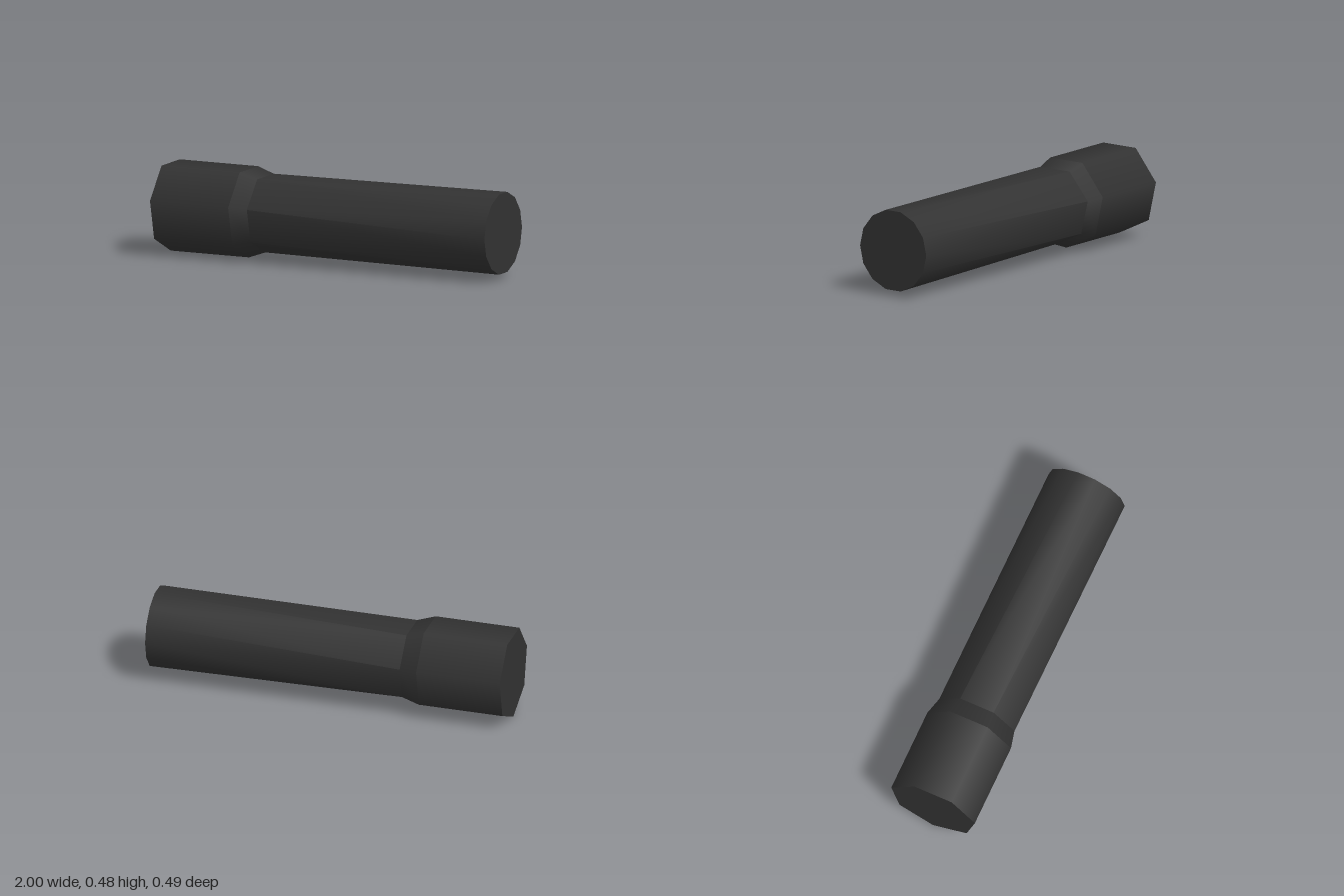
import * as THREE from 'three';

const CENTER_Y = 0.2525;
const HEAD_R = 0.2525, NECK_R = 0.2175, END_R = 0.2235;
const NECK_WIDEN = 1.045; // the neck ring is slightly wider than tall
const X_BACK = -1, X_HEAD = -0.53, X_NECK = -0.43, X_FRONT = 1;

export function createModel() {
  const group = new THREE.Group();
  const charcoal = new THREE.MeshStandardMaterial({ color: 0x323232 });
  charcoal.name = 'charcoal';

  function add(name, geometry, x) {
    const mesh = new THREE.Mesh(geometry, charcoal);
    mesh.name = name;
    mesh.position.set(x, CENTER_Y, 0);
    group.add(mesh);
  }

  // Open tube along x with smooth sides; edit(position, index) may adjust its points first
  function tube(name, x0, x1, r0, r1, sides, start, edit) {
    const g = new THREE.CylinderGeometry(r1, r0, x1 - x0, sides, 1, true, start);
    g.rotateZ(-Math.PI / 2);
    if (edit) {
      const p = g.attributes.position;
      for (let i = 0; i < p.count; i++) edit(p, i);
    }
    add(name, g, (x0 + x1) / 2);
  }

  // Seven-sided head, with a corner pointing down
  tube('head', X_BACK, X_HEAD, HEAD_R, HEAD_R, 7, Math.PI / 2);

  // Taper from the head to the neck
  tube('collar', X_HEAD, X_NECK, HEAD_R, NECK_R, 7, Math.PI / 2, (p, i) => {
    if (p.getX(i) > 0) p.setZ(i, p.getZ(i) * NECK_WIDEN);
  });

  // Barrel: seven sides at the neck, opening to fourteen at the far end
  tube('barrel', X_NECK, X_FRONT, NECK_R, END_R, 14, Math.PI / 2 + Math.PI / 14, (p, i) => {
    if (p.getX(i) > 0) return;
    const step = (Math.PI * 2) / 7;
    const a = Math.round(Math.atan2(p.getZ(i), -p.getY(i)) / step) * step;
    p.setY(i, -NECK_R * Math.cos(a));
    p.setZ(i, NECK_R * Math.sin(a) * NECK_WIDEN);
  });

  // Flat end caps
  add('headCap', new THREE.CircleGeometry(HEAD_R, 7, -Math.PI / 2).rotateY(-Math.PI / 2), X_BACK);
  add('barrelCap', new THREE.CircleGeometry(END_R, 14, Math.PI / 2 + Math.PI / 14).rotateY(Math.PI / 2), X_FRONT);

  return group;
}
